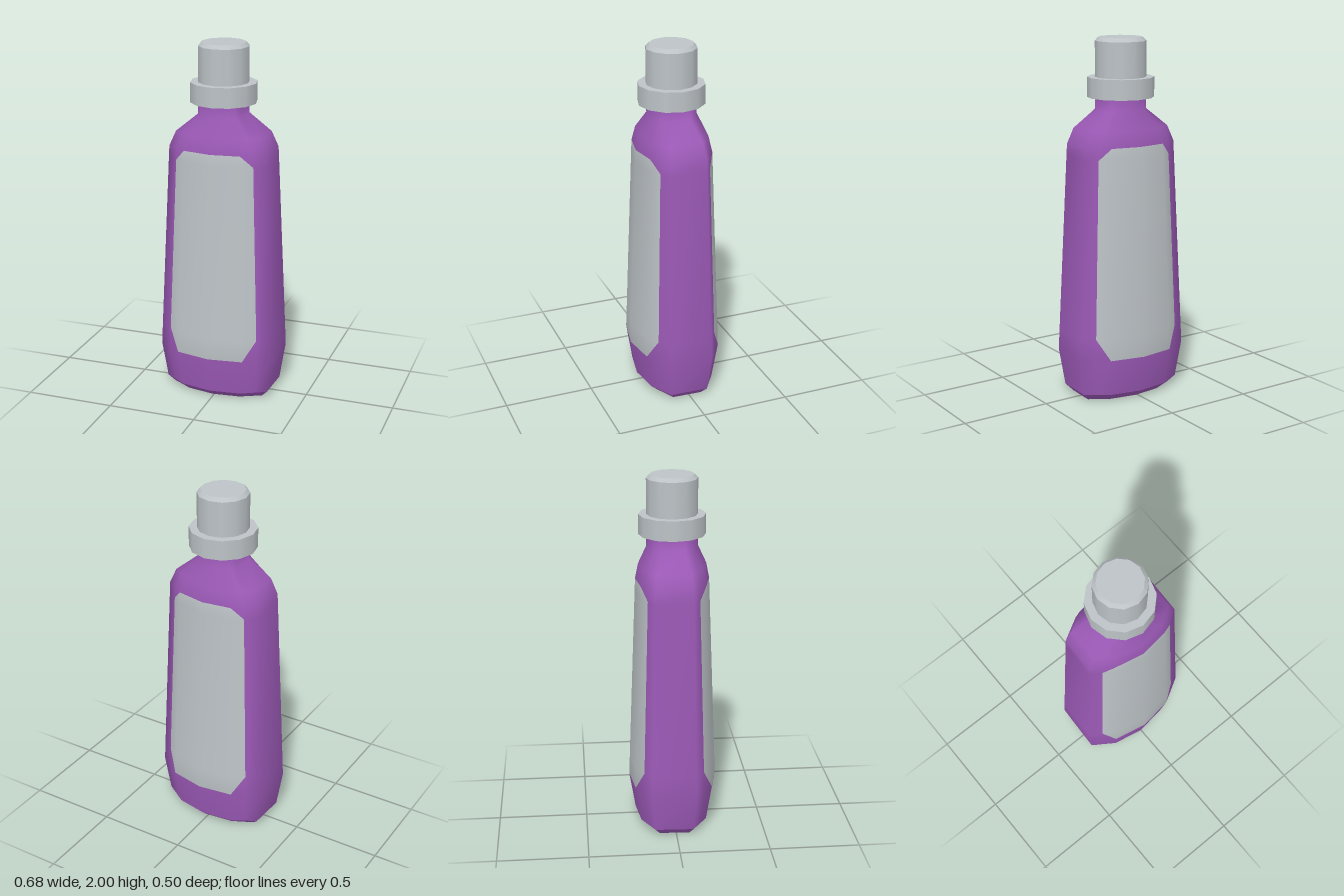
import * as THREE from 'three';

// Half of the widest body outline (x, z); the other half is its half-turn copy.
// Points 2 and 5 are extra midpoints where the label edge runs.
const HALF = [[0.01, -0.248], [0.203, -0.207], [0.271, -0.158], [0.34, -0.11], [0.33, 0.138], [0.257, 0.18], [0.184, 0.222]];
const OUTLINE = [...HALF, ...HALF.map(([x, z]) => [-x, -z])];
const N = OUTLINE.length;

// Body rows: height, x scale, z scale
const FOOT = [[0, 0.8, 0.68], [0.04, 0.91, 0.86]];
const ROWS = [
  [0.04, 0.91, 0.86], [0.25, 1, 1], [0.37, 0.984, 0.981], [1.36, 0.85, 0.828],
  [1.425, 0.84, 0.818], [1.51, 0.73, 0.75],
];
const NECK_R = 0.14;

function ring([y, sx, sz]) {
  return OUTLINE.flatMap(([x, z]) => [x * sx, y, z * sz]);
}

// Circular ring for the neck, matched point by point to the outline
function neckRing(y) {
  return OUTLINE.flatMap(([x, z]) => {
    const l = Math.hypot(x / 0.34, z / 0.25);
    const a = Math.atan2(z / 0.25 / l, x / 0.34 / l);
    return [NECK_R * Math.cos(a), y, NECK_R * Math.sin(a)];
  });
}

// Joins rings into a smooth shell and sorts its triangles into plain and label faces
function shell(rings, hasLabel) {
  const plain = [], label = [];
  for (let r = 0; r < rings.length - 1; r++) {
    for (let j = 0; j < N; j++) {
      const k = (j + 1) % N;
      const a = r * N + j, b = r * N + k, d = a + N, c = b + N;
      const col = j % 7;
      const inBand = hasLabel && r >= 1 && r <= 3;
      const full = inBand && (col === 0 || col === 6 || (r === 2 && (col === 1 || col === 5)));
      const corner = inBand && !full && (col === 1 || col === 5);
      if (corner && (col === 1) === (r === 1)) {
        // cut along a-c
        const upper = [a, d, c], lower = [a, c, b];
        (r === 1 ? label : plain).push(...upper);
        (r === 1 ? plain : label).push(...lower);
      } else if (corner) {
        // cut along d-b
        const left = [a, d, b], right = [d, c, b];
        (col === 1 ? label : plain).push(...left);
        (col === 1 ? plain : label).push(...right);
      } else {
        (full ? label : plain).push(a, d, b, d, c, b);
      }
    }
  }
  const whole = new THREE.BufferGeometry();
  whole.setAttribute('position', new THREE.Float32BufferAttribute(rings.flat(), 3));
  whole.setIndex([...plain, ...label]);
  whole.computeVertexNormals();
  const part = (index) => {
    const g = new THREE.BufferGeometry();
    g.setAttribute('position', whole.attributes.position);
    g.setAttribute('normal', whole.attributes.normal);
    g.setIndex(index);
    return g;
  };
  return { plain: part(plain), label: part(label) };
}

export function createModel() {
  const purple = new THREE.MeshStandardMaterial({ color: 0x9b59b6, side: THREE.DoubleSide });
  purple.name = 'purple plastic';
  const grey = new THREE.MeshStandardMaterial({ color: 0xbdc3c7, side: THREE.DoubleSide });
  grey.name = 'light grey';

  const model = new THREE.Group();
  model.name = 'bottle';
  const add = (name, geometry, material, y = 0) => {
    const mesh = new THREE.Mesh(geometry, material);
    mesh.name = name;
    mesh.position.y = y;
    model.add(mesh);
    return mesh;
  };

  // Body with the front and back labels set flush into it
  const body = shell([...ROWS.map(ring), neckRing(1.61), neckRing(1.7)], true);
  add('body', body.plain, purple);
  add('labels', body.label, grey);

  // Bevelled foot, open underneath
  add('foot', shell(FOOT.map(ring), false).plain, purple);

  // Twelve-sided cap: collar, barrel and bevelled top
  const disc = (name, top, bottom, y0, y1) => {
    const mesh = add(name, new THREE.CylinderGeometry(top, bottom, y1 - y0, 12), grey, (y0 + y1) / 2);
    mesh.rotation.y = -0.025;
  };
  disc('capCollar', 0.184, 0.184, 1.675, 1.785);
  disc('capBarrel', 0.14, 0.14, 1.785, 1.98);
  disc('capTop', 0.121, 0.14, 1.98, 2);

  return model;
}
